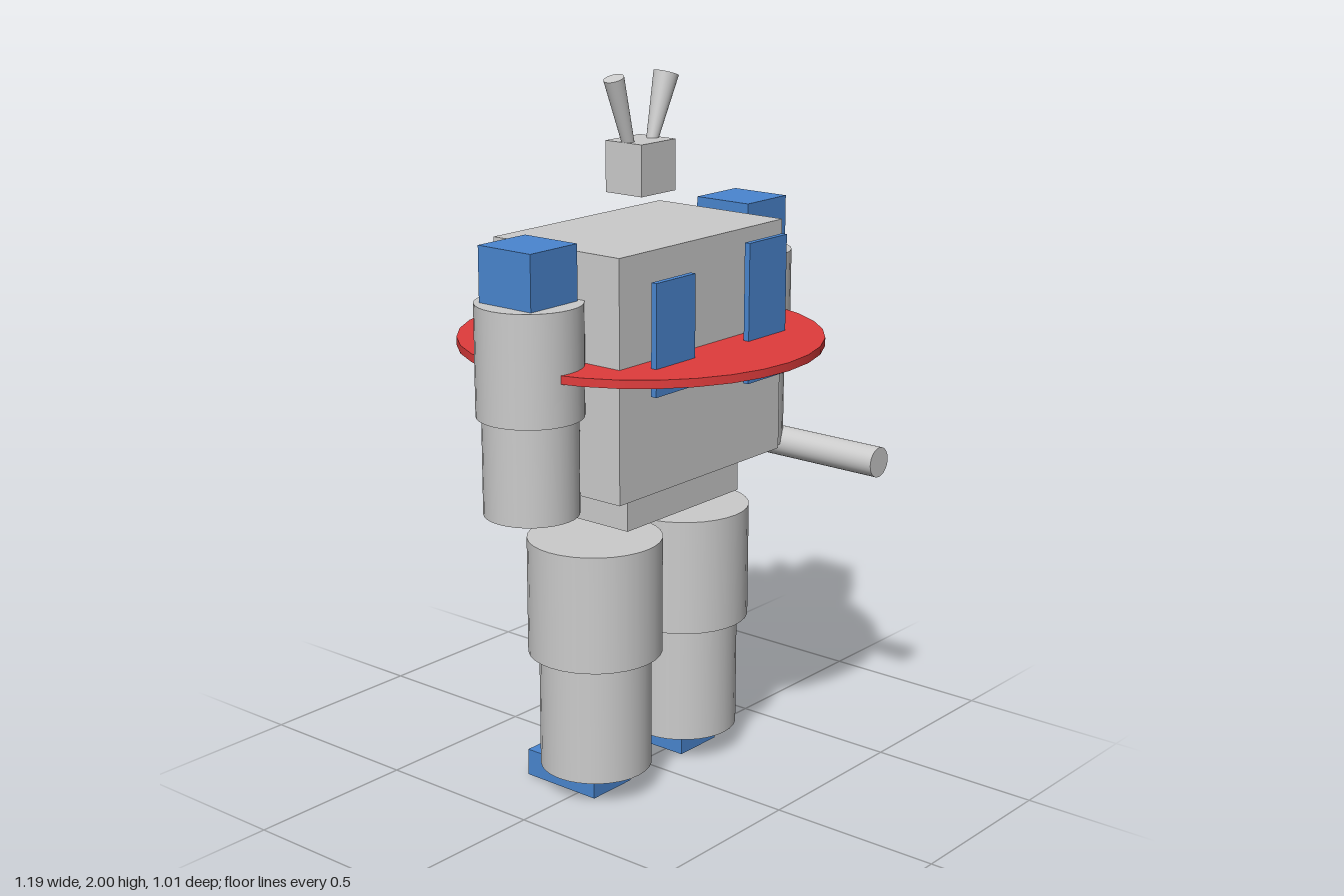
import * as THREE from 'three';

const grey = new THREE.MeshStandardMaterial({ color: 0xcccccc });
const blue = new THREE.MeshStandardMaterial({ color: 0x4a86d0 });
const red = new THREE.MeshStandardMaterial({ color: 0xe03c3c });

export function createModel() {
  const model = new THREE.Group();
  model.name = 'robot';

  const add = (name, geometry, material) => {
    const mesh = new THREE.Mesh(geometry, material);
    mesh.name = name;
    model.add(mesh);
    return mesh;
  };
  // Box given by its lower and upper limits on each axis
  const box = (name, [x0, x1], [y0, y1], [z0, z1], material = grey) =>
    add(name, new THREE.BoxGeometry(x1 - x0, y1 - y0, z1 - z0), material)
      .position.set((x0 + x1) / 2, (y0 + y1) / 2, (z0 + z1) / 2);
  // Round part running from point a to point b
  const rod = (name, a, b, rA, rB = rA, material = grey) => {
    const start = new THREE.Vector3(...a);
    const end = new THREE.Vector3(...b);
    const axis = end.clone().sub(start);
    const mesh = add(name, new THREE.CylinderGeometry(rB, rA, axis.length(), 32), material);
    mesh.position.copy(start).add(end).multiplyScalar(0.5);
    mesh.quaternion.setFromUnitVectors(new THREE.Vector3(0, 1, 0), axis.normalize());
  };

  // Body and head
  box('hips', [-0.243, 0.24], [0.803, 0.915], [-0.157, 0.157]);
  box('torso', [-0.348, 0.346], [0.915, 1.577], [-0.22, 0.22]);
  box('head', [-0.072, 0.07], [1.677, 1.817], [-0.063, 0.063]);
  rod('waistDisc', [0, 1.26, 0], [0, 1.283, 0], 0.506, 0.506, red);

  // Antennae flare towards the tip
  rod('rightAntenna', [-0.048, 1.8, 0], [-0.111, 1.991, 0], 0.016, 0.028);
  rod('leftAntenna', [0.043, 1.8, 0], [0.106, 1.985, 0], 0.015, 0.035);

  // Chest plates float in front of the torso
  box('rightChestPlate', [-0.28, -0.12], [1.207, 1.51], [0.27, 0.287], blue);
  box('leftChestPlate', [0.112, 0.278], [1.163, 1.553], [0.27, 0.287], blue);

  for (const [side, s] of [['left', 1], ['right', -1]]) {
    // Arms
    const ax = s * 0.45;
    box(side + 'Shoulder', [ax - 0.09, ax + 0.088], [1.45, 1.601], [-0.092, 0.09], blue);
    rod(side + 'UpperArm', [ax, 1.145, 0], [ax, 1.45, 0], 0.144);
    rod(side + 'LowerArm', [ax, 0.876, 0], [ax, 1.145, 0], 0.129);

    // Legs and feet; the feet reach backwards
    const lx = s * 0.194 - 0.003;
    rod(side + 'UpperLeg', [lx, 0.412, 0], [lx, 0.746, 0], 0.188);
    rod(side + 'LowerLeg', [lx, 0.072, 0], [lx, 0.412, 0], 0.157);
    box(side + 'Foot', [lx - 0.078, lx + 0.08], [0, 0.078], [-0.19, 0.06], blue);
  }

  // Forward-pointing tube under the left arm
  rod('forearmTube', [0.532, 0.872, -0.027], [0.532, 0.872, 0.441], 0.044);

  return model;
}
